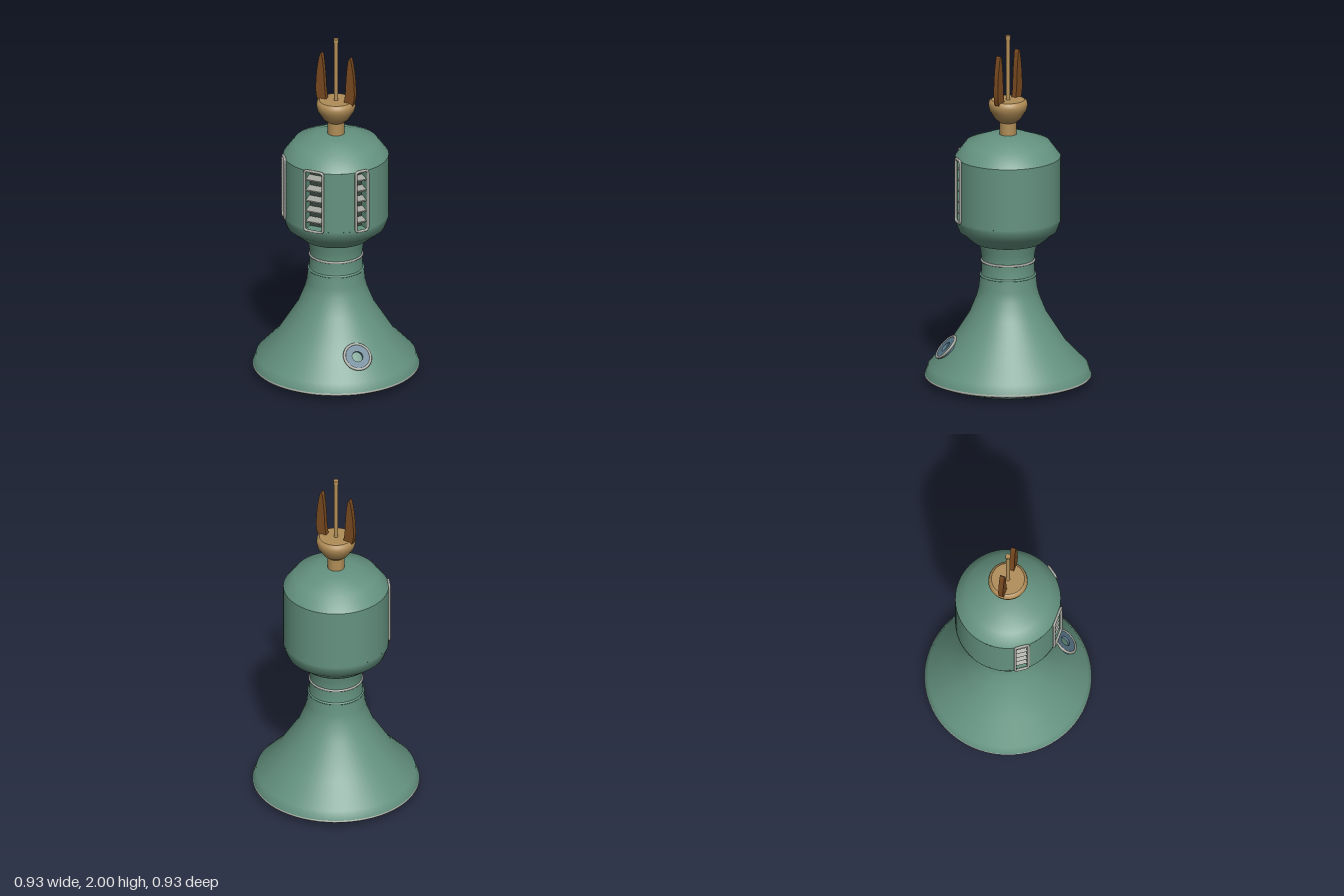
import * as THREE from 'three';

const material = (name, color) => {
  const m = new THREE.MeshStandardMaterial({ color });
  m.name = name;
  return m;
};

export function createModel() {
  const green = material('green enamel', 0x649280);
  const dark = material('dark interior', 0x38463f);
  const brass = material('brass', 0xb08d57);
  const brown = material('brown prong', 0x7a4a20);
  const grey = material('grey trim', 0xa3a59e);
  const slate = material('slate blue', 0x58768a);

  const model = new THREE.Group();
  model.name = 'lamp';

  const add = (name, geometry, mat, parent = model) => {
    const mesh = new THREE.Mesh(geometry, mat);
    mesh.name = name;
    parent.add(mesh);
    return mesh;
  };
  // Profiles are [radius, height] pairs from bottom to top
  const lathe = (name, profile, mat, start = 0, length = Math.PI * 2) =>
    add(name, new THREE.LatheGeometry(profile.map(([r, y]) => new THREE.Vector2(r, y)),
      Math.max(3, Math.round(64 * length / (Math.PI * 2))), start, length), mat);
  const ring = (name, r, tube, y, mat) => {
    const mesh = add(name, new THREE.TorusGeometry(r, tube, 8, 64), mat);
    mesh.rotation.x = Math.PI / 2;
    mesh.position.y = y;
  };

  // Flared base and neck
  lathe('baseUnderside', [[0, 0], [0.37, 0]], green);
  lathe('baseFoot', [[0.37, 0], [0.455, 0.03], [0.464, 0.045]], green);
  lathe('base', [[0.464, 0.045], [0.445, 0.1], [0.33, 0.22], [0.215, 0.4],
    [0.175, 0.5], [0.163, 0.55], [0.156, 0.62]], green);
  ring('baseRim', 0.458, 0.008, 0.042, grey);
  ring('neckSeam', 0.152, 0.007, 0.622, green);
  lathe('neck', [[0.154, 0.62], [0.149, 0.64], [0.146, 0.71], [0.153, 0.76], [0.168, 0.82]], green);
  ring('neckRing', 0.147, 0.007, 0.705, grey);

  // Head: closed ends, wall with gaps for the vents
  const wallLow = 0.95, wallHigh = 1.305, headR = 0.294;
  lathe('headUnderside', [[0.14, 0.815], [0.195, 0.815]], green);
  lathe('headLower', [[0.195, 0.815], [0.275, 0.88], [headR, 0.935], [headR, wallLow]], green);
  lathe('headUpper', [[headR, wallHigh], [0.234, 1.385], [0.11, 1.43], [0, 1.432]], green);

  const sideAngle = 0.95;
  const vents = [
    { angle: -sideAngle, half: 0.033 },
    { angle: 0, half: 0.052 },
    { angle: sideAngle, half: 0.033 },
  ];
  vents.forEach((v, i) => {
    const next = vents[(i + 1) % 3];
    const start = v.angle + Math.asin(v.half / headR);
    const end = next.angle - Math.asin(next.half / headR) + (i === 2 ? Math.PI * 2 : 0);
    lathe('headWall', [[headR, wallLow], [headR, wallHigh]], green, start, end - start);
  });

  // Louvred vents with rounded frames
  const midY = (wallLow + wallHigh) / 2, halfH = (wallHigh - wallLow) / 2;
  const rect = (Type, w, h) => {
    const s = new Type();
    s.moveTo(-w, -h);
    s.lineTo(w, -h);
    s.lineTo(w, h);
    s.lineTo(-w, h);
    s.closePath();
    return s;
  };
  const framePath = (w, h, r) => {
    const pts = [];
    [[1, 1, 0], [-1, 1, 1], [-1, -1, 2], [1, -1, 3]].forEach(([sx, sy, q]) => {
      for (let k = 0; k <= 4; k++) {
        const a = (q + k / 4) * Math.PI / 2;
        pts.push(new THREE.Vector3(sx * (w - r) + r * Math.cos(a), sy * (h - r) + r * Math.sin(a), 0));
      }
    });
    const path = new THREE.CurvePath();
    pts.forEach((p, k) => path.add(new THREE.LineCurve3(p, pts[(k + 1) % pts.length])));
    return new THREE.CatmullRomCurve3(path.getSpacedPoints(120).slice(0, -1), true);
  };
  for (const { angle, half } of vents) {
    const vent = new THREE.Group();
    vent.name = 'vent';
    vent.position.y = midY;
    vent.rotation.y = angle;
    model.add(vent);

    const walls = rect(THREE.Shape, half + 0.004, halfH + 0.004);
    walls.holes.push(rect(THREE.Path, half - 0.001, halfH - 0.001));
    add('ventWalls', new THREE.ExtrudeGeometry(walls, { depth: 0.06, bevelEnabled: false }), green, vent)
      .position.z = 0.228;
    add('ventBack', new THREE.BoxGeometry(half * 2, halfH * 2, 0.006), dark, vent).position.z = 0.228;
    add('ventFrame', new THREE.TubeGeometry(framePath(half + 0.005, halfH + 0.003, 0.016), 120, 0.008, 8, true),
      grey, vent).position.z = 0.295;
    for (let k = 0; k < 5; k++) {
      const slat = add('louvre', new THREE.BoxGeometry(half * 2 - 0.002, 0.009, 0.05), grey, vent);
      slat.position.set(0, (k - 2) * 0.063, 0.262);
      slat.rotation.x = 0.25;
    }
  }

  // Round socket on the slope of the base
  const socket = new THREE.Group();
  socket.name = 'socket';
  socket.position.set(0.245, 0.212, 0.245);
  socket.rotation.set(-0.75, Math.PI / 4, 0, 'YXZ');
  model.add(socket);
  const plate = new THREE.Shape().absarc(0, 0, 0.074, 0, Math.PI * 2);
  plate.holes.push(new THREE.Path().absarc(0, 0, 0.031, 0, Math.PI * 2, true));
  add('socketPlate', new THREE.ExtrudeGeometry(plate, { depth: 0.022, bevelEnabled: false, curveSegments: 24 }),
    slate, socket).position.z = -0.014;
  add('socketRim', new THREE.TorusGeometry(0.075, 0.008, 8, 40), grey, socket).position.z = 0.005;

  // Brass stem, cup and rod
  lathe('stem', [[0.047, 1.42], [0.047, 1.51]], brass);
  lathe('cup', [[0.045, 1.5], [0.07, 1.52], [0.103, 1.57], [0.11, 1.6], [0.106, 1.622], [0.092, 1.63]], brass);
  lathe('cupTop', [[0.092, 1.63], [0, 1.63]], brass);
  lathe('rod', [[0.012, 1.62], [0.012, 1.98]], brass);
  add('rodTip', new THREE.CylinderGeometry(0.015, 0.015, 0.022, 20), brass).position.y = 1.989;

  // Pair of curved prongs
  const prong = new THREE.Shape();
  prong.moveTo(0.048, 1.6);
  prong.lineTo(0.1, 1.6);
  prong.quadraticCurveTo(0.119, 1.64, 0.119, 1.69);
  prong.quadraticCurveTo(0.117, 1.8, 0.096, 1.89);
  prong.quadraticCurveTo(0.088, 1.913, 0.08, 1.885);
  prong.quadraticCurveTo(0.07, 1.82, 0.066, 1.74);
  prong.quadraticCurveTo(0.064, 1.66, 0.048, 1.6);
  const prongGeometry = new THREE.ExtrudeGeometry(prong, { depth: 0.028, bevelEnabled: false, curveSegments: 6 });
  prongGeometry.translate(0, 0, -0.014);
  add('leftProng', prongGeometry, brown);
  add('rightProng', prongGeometry, brown).rotation.y = Math.PI;

  return model;
}
